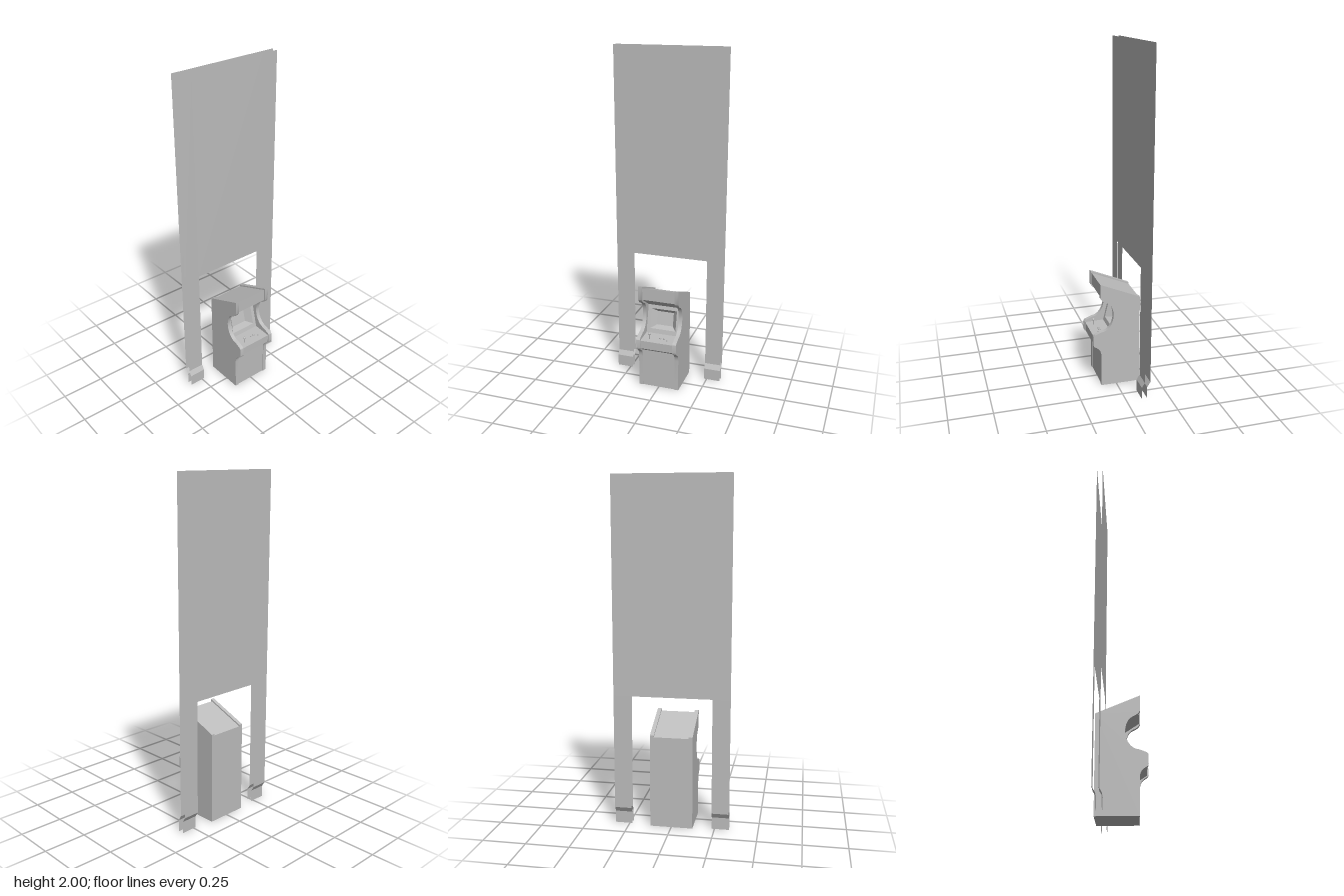
import * as THREE from 'three';
import { toCreasedNormals } from 'three/addons/utils/BufferGeometryUtils.js';

const BACK = -0.142, BODY = 0.1005, PANEL = 0.023;

// Flat-shaded geometry from four-cornered faces
function quads(list) {
  const pos = [];
  for (const [a, b, c, d] of list) pos.push(...a, ...b, ...c, ...a, ...c, ...d);
  const g = new THREE.BufferGeometry();
  g.setAttribute('position', new THREE.Float32BufferAttribute(pos, 3));
  g.computeVertexNormals();
  return g;
}

// Strip of faces along an x-y path, spanning z0..z1
function strip(path, z0, z1) {
  const faces = [];
  for (let i = 0; i < path.length - 1; i++) {
    const [ax, ay] = path[i], [bx, by] = path[i + 1];
    faces.push([[ax, ay, z1], [ax, ay, z0], [bx, by, z0], [bx, by, z1]]);
  }
  return faces;
}

export function createModel() {
  const group = new THREE.Group();
  const grey = new THREE.MeshStandardMaterial({ color: 0xbcbcbc, side: THREE.DoubleSide });
  grey.name = 'grey';
  const add = (name, geometry, x = 0, y = 0, z = 0) => {
    const mesh = new THREE.Mesh(geometry, grey);
    mesh.name = name;
    mesh.position.set(x, y, z);
    group.add(mesh);
    return mesh;
  };

  // Cabinet side panels with scooped front and rounded control shelf
  const side = new THREE.Shape();
  side.moveTo(BACK, 0);
  side.lineTo(0.092, 0);
  side.lineTo(0.092, 0.195);
  side.bezierCurveTo(0.094, 0.235, 0.112, 0.243, 0.132, 0.256);
  side.quadraticCurveTo(0.139, 0.26, 0.139, 0.27);
  side.lineTo(0.139, 0.315);
  side.quadraticCurveTo(0.139, 0.326, 0.128, 0.331);
  side.lineTo(0.092, 0.345);
  side.bezierCurveTo(0.045, 0.349, 0.019, 0.395, 0.017, 0.445);
  side.bezierCurveTo(0.019, 0.49, 0.035, 0.517, 0.062, 0.528);
  side.quadraticCurveTo(0.088, 0.54, 0.097, 0.56);
  side.lineTo(0.097, 0.645);
  side.lineTo(BACK, 0.545);
  side.closePath();
  const sideGeometry = toCreasedNormals(
    new THREE.ExtrudeGeometry(side, { depth: PANEL, bevelEnabled: false, curveSegments: 10 }), 0.5);
  add('leftSidePanel', sideGeometry, 0, 0, BODY);
  add('rightSidePanel', sideGeometry, 0, 0, -BODY - PANEL);

  // Cabinet body between the panels, open where the screen bezel sits
  const bezelLow = [0.02, 0.319], bezelHigh = [-0.02, 0.487];
  add('lowerBody', quads(strip([[BACK, 0], [0.088, 0], [0.088, 0.235],
    [0.132, 0.265], [0.133, 0.315], bezelLow], -BODY, BODY)));
  add('upperBody', quads(strip([bezelHigh, [0.09, 0.56], [0.09, 0.633],
    [BACK, 0.536], [BACK, 0]], -BODY, BODY)));

  // Screen bezel: rectangles stepping in and back to the screen
  const dx = bezelHigh[0] - bezelLow[0], dy = bezelHigh[1] - bezelLow[1];
  const len = Math.hypot(dx, dy), nx = dy / len, ny = -dx / len;
  const rectangle = (w, v0, v1, depth) => [[w, v0], [-w, v0], [-w, v1], [w, v1]].map(
    ([z, v]) => [bezelLow[0] + dx * v - nx * depth, bezelLow[1] + dy * v - ny * depth, z]);
  const rings = [rectangle(BODY, 0, 1, 0), rectangle(0.08, 0.16, 0.87, 0),
    rectangle(0.05, 0.27, 0.75, 0.04)];
  const bezelFaces = [];
  for (let r = 0; r < 2; r++) {
    for (let i = 0; i < 4; i++) {
      const j = (i + 1) % 4;
      bezelFaces.push([rings[r][i], rings[r][j], rings[r + 1][j], rings[r + 1][i]]);
    }
  }
  add('screenBezel', quads(bezelFaces));
  add('screen', quads([rings[2]]));

  // Joystick and buttons
  add('joystickStick', new THREE.CylinderGeometry(0.003, 0.003, 0.034, 10), 0.094, 0.332, 0.055);
  add('joystickBall', new THREE.SphereGeometry(0.008, 14, 10), 0.094, 0.349, 0.055);
  for (const [x, z] of [[0.092, -0.052], [0.078, -0.03], [0.078, -0.008]]) {
    add('button', new THREE.CylinderGeometry(0.005, 0.005, 0.008, 12), x, 0.319, z);
  }

  // Two thin upright sheets, each on a pair of legs with stepped feet
  const outer = 0.3335, inner = 0.2345;
  for (const [name, x, step] of [['rearSheet', BACK, 0.019], ['frontSheet', -0.108, 0.017]]) {
    const leg = [[x + step, 0], [x + step, 0.07], [x, 0.1], [x, 0.77]];
    add(name, quads([
      ...strip([[x, 0.77], [x, 2]], -outer, -inner),
      ...strip([[x, 0.77], [x, 2]], -inner, inner),
      ...strip([[x, 0.77], [x, 2]], inner, outer),
      ...strip(leg, -outer, -inner),
      ...strip(leg, inner, outer),
    ]));
  }
  return group;
}
